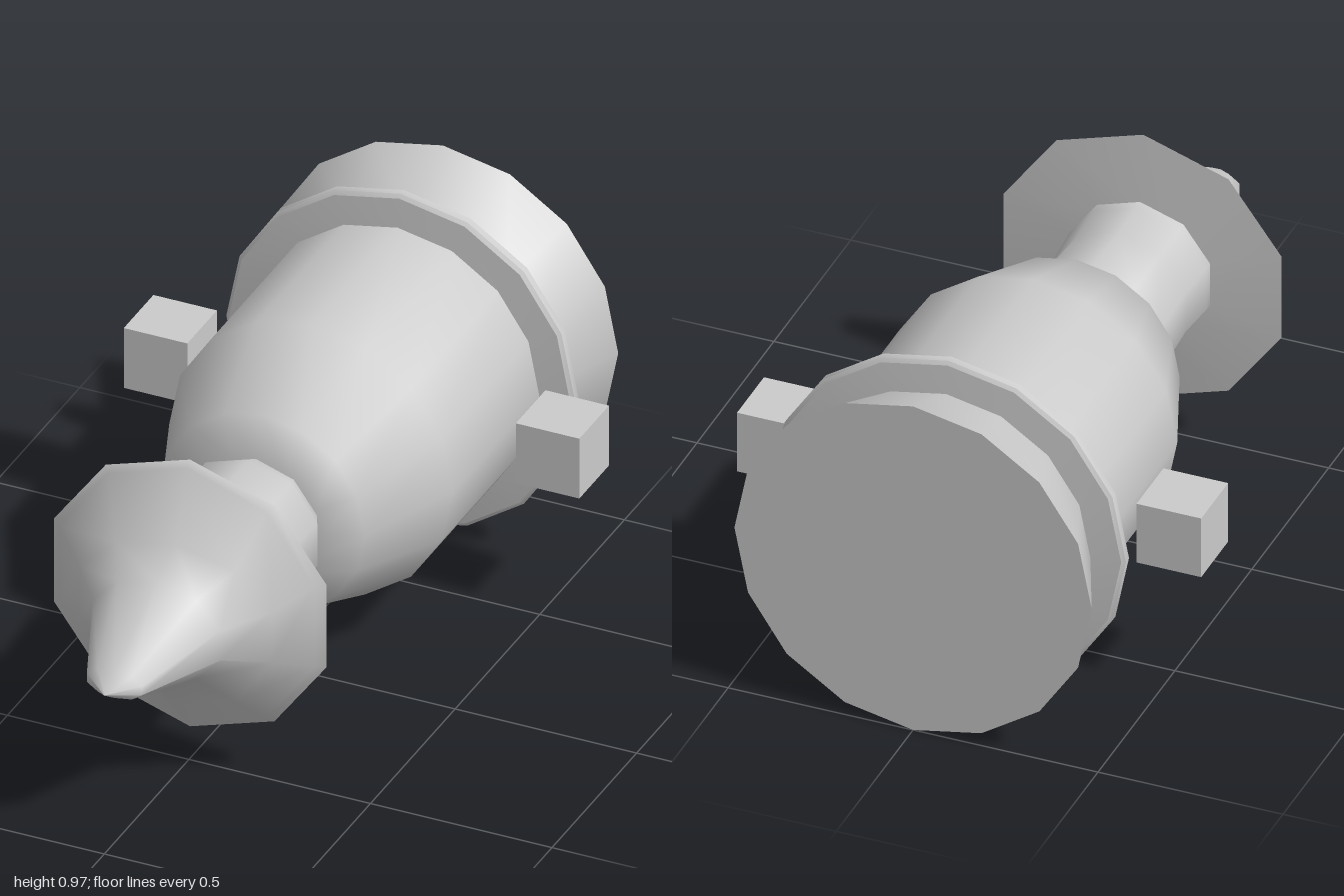
import * as THREE from 'three';
import { toCreasedNormals } from 'three/addons/utils/BufferGeometryUtils.js';

const AXIS_Y = 0.49;

export function createModel() {
  const model = new THREE.Group();
  const material = new THREE.MeshStandardMaterial({ color: 0xcccccc });

  function add(name, geometry) {
    const mesh = new THREE.Mesh(geometry, material);
    mesh.name = name;
    model.add(mesh);
    return mesh;
  }

  // Turned part lying along z; profile is [radius, z] from back to front
  function turned(name, profile, sides, crease) {
    const points = profile.map(([r, z]) => new THREE.Vector2(r, z));
    const geometry = new THREE.LatheGeometry(points, sides);
    geometry.rotateX(Math.PI / 2);
    geometry.translate(0, AXIS_Y, 0);
    return add(name, toCreasedNormals(geometry, crease));
  }

  // Main barrel, collar ring and flared rear
  turned('body', [[0, -0.79], [0.39, -0.79], [0.39, -0.22], [0.28, 0.06], [0.18, 0.105], [0, 0.105]], 16, 0.9);
  turned('collar', [[0.38, -0.787], [0.47, -0.777], [0.48, -0.77], [0.48, -0.75], [0.47, -0.742], [0.38, -0.732]], 16, 0.5);
  turned('rearFlare', [[0, -1], [0.483, -1], [0.39, -0.785], [0, -0.785]], 16, 0.6);

  // Slightly waisted neck
  turned('neck', [[0.175, 0.1], [0.2, 0.15], [0.19, 0.34], [0.198, 0.45], [0.2, 0.49]], 10, 0.9);

  // Head: rings of [z, centre y, half width, height above, depth below]
  const rings = [
    [0.475, 0.49, 0.18, 0.18, 0.18],
    [0.493, 0.49, 0.395, 0.39, 0.39],
    [0.512, 0.49, 0.37, 0.375, 0.365],
    [0.58, 0.49, 0.28, 0.19, 0.28],
    [0.69, 0.49, 0.185, 0.14, 0.14],
    [0.94, 0.47, 0.08, 0.042, 0.04],
    [1.0, 0.47, 0, 0, 0],
  ];
  const head = new THREE.LatheGeometry(rings.map((r) => new THREE.Vector2(1, r[0])), 10);
  head.rotateX(Math.PI / 2);
  const position = head.attributes.position;
  for (let i = 0; i < position.count; i++) {
    const [z, cy, width, up, down] = rings[i % rings.length];
    const y = position.getY(i);
    position.setXYZ(i, position.getX(i) * width, cy + y * (y > 0 ? up : down), z);
  }
  add('head', toCreasedNormals(head, 0.9));

  // Side blocks
  for (const side of [1, -1]) {
    const block = add(side > 0 ? 'leftBlock' : 'rightBlock', new THREE.BoxGeometry(0.175, 0.175, 0.175));
    block.position.set(side * 0.54, 0.488, -0.548);
  }

  return model;
}
